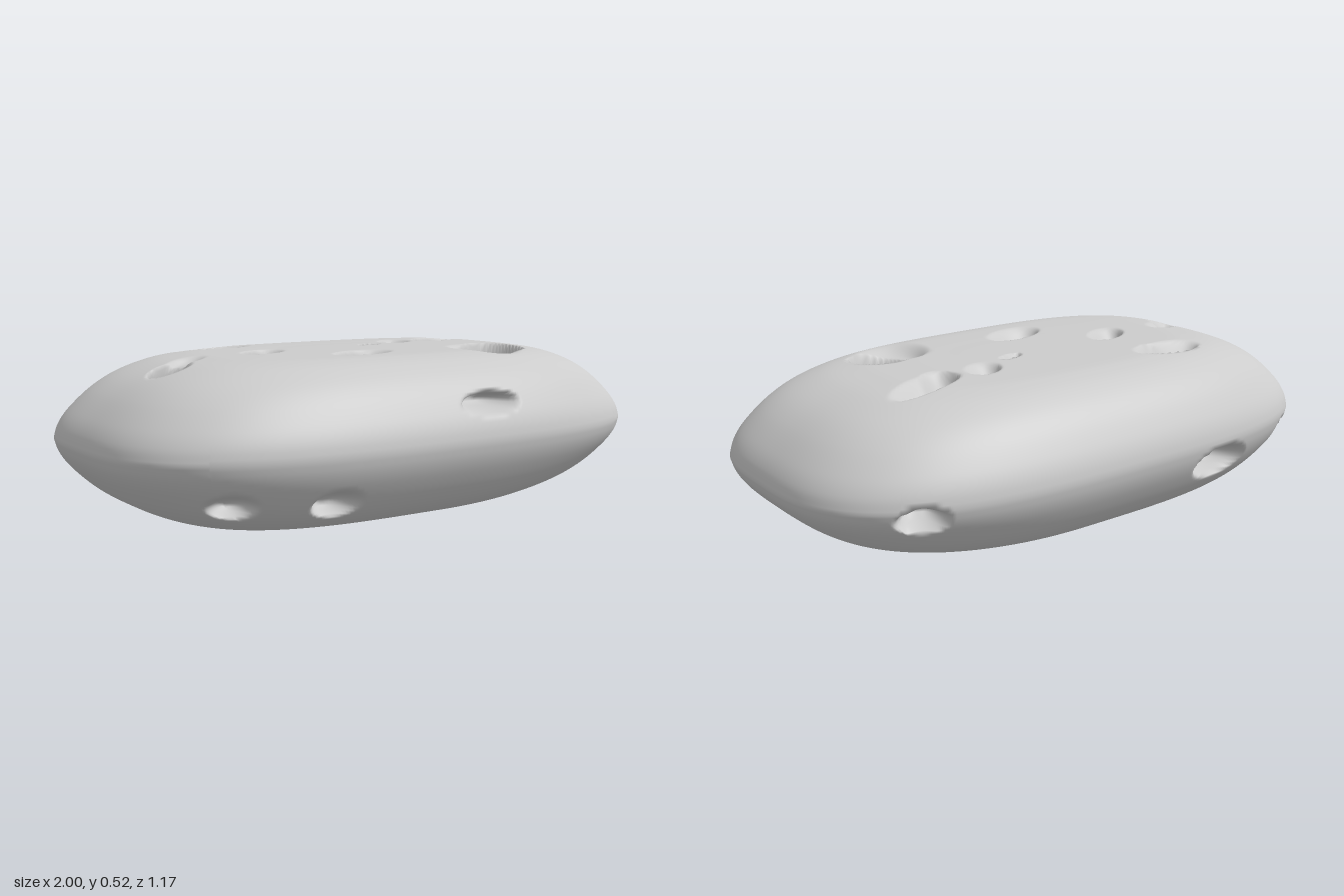
import * as THREE from 'three';
import { mergeVertices } from 'three/addons/utils/BufferGeometryUtils.js';

const MID = 0.265, DEPTH = 0.585, POWER = 3.1, NX = 220, NZ = 136;
const { smoothstep } = THREE.MathUtils;

// Edge profile: distance from the centre (1 = rim) against height above the middle
const profile = new THREE.SplineCurve([
  [0, 0.262], [0.25, 0.262], [0.5, 0.261], [0.6, 0.255], [0.7, 0.239], [0.8, 0.204],
  [0.88, 0.156], [0.95, 0.092], [0.986, 0.043], [1, 0],
].map(([t, h]) => new THREE.Vector2(t, h)));

// Pit in the upper or lower face, pushed in and slightly under its back edge
const facePit = (side) => ([x, z, rx, rz, depth, turn = 0]) => ({
  centre: new THREE.Vector3(x, MID + side * 0.26, z),
  radii: [rx, 0.15, rz],
  turn,
  push: new THREE.Vector3(-0.2, -side, -0.3).multiplyScalar(depth),
});

// Pit in the rim, pushed in along the outline's normal
const rimPit = (side) => ([x, y, rx, ry, depth]) => {
  const z = Math.pow(1 - Math.abs(x) ** POWER, 1 / POWER);
  const normal = new THREE.Vector3(
    Math.sign(x) * Math.abs(x) ** (POWER - 1), 0, (side * z ** (POWER - 1)) / DEPTH).normalize();
  return {
    centre: new THREE.Vector3(x, y, side * z * DEPTH * 0.95),
    radii: [rx, ry, 0.14],
    turn: Math.atan2(normal.x, normal.z),
    push: normal.multiplyScalar(-depth),
  };
};

const upperPits = [
  [-0.40, -0.27, 0.15, 0.06, 0.08],
  [-0.36, -0.26, 0.08, 0.04, 0.08],
  [-0.72, 0.06, 0.075, 0.07, 0.13, 0.3],
  [-0.64, 0.01, 0.09, 0.05, 0.02, 0.4],
  [-0.35, -0.01, 0.1, 0.06, 0.06, 0.5],
  [-0.09, 0.19, 0.13, 0.07, 0.06, 0.25],
  [0.11, -0.06, 0.05, 0.02, 0.06, 0.2],
  [0.27, -0.13, 0.08, 0.06, 0.04, 0.6],
  [0.51, -0.165, 0.16, 0.065, 0.06, 0.3],
  [0.44, -0.13, 0.07, 0.06, 0.11, 0.5],
  [0.38, 0.24, 0.13, 0.13, 0.04],
];
const lowerPits = [
  [0.52, 0.21, 0.14, 0.13, 0.03],
  [0.28, 0.19, 0.08, 0.06, 0.08],
  [0.55, -0.16, 0.09, 0.07, 0.07],
  [0.28, -0.17, 0.16, 0.12, 0.14, 0.3],
  [0.13, 0.03, 0.06, 0.04, 0.08],
  [-0.39, 0.04, 0.08, 0.07, 0.11],
];
const frontPits = [
  [0.16, 0.38, 0.13, 0.035, 0.12],
  [-0.73, 0.12, 0.1, 0.055, 0.1],
  [-0.40, 0.11, 0.1, 0.055, 0.1],
];
const backPits = [
  [0.73, 0.235, 0.09, 0.042, 0.11],
  [-0.39, 0.19, 0.14, 0.06, 0.12],
  [-0.79, 0.2, 0.07, 0.045, 0.1],
];
const pits = [
  ...upperPits.map(facePit(1)), ...lowerPits.map(facePit(-1)),
  ...frontPits.map(rimPit(1)), ...backPits.map(rimPit(-1)),
];

// Hole that goes right through
const hole = { x: 0.445, z: 0.21, rx: 0.1, rz: 0.095, core: 0.65 };
const holeDistance = (x, z) => Math.hypot((x - hole.x) / hole.rx, (z - hole.z) / hole.rz);

function applyPits(p) {
  const o = p.clone();
  for (const { centre, radii, turn, push } of pits) {
    const d = o.clone().sub(centre);
    const cos = Math.cos(turn), sin = Math.sin(turn);
    const q = Math.hypot(
      (d.x * cos - d.z * sin) / radii[0], d.y / radii[1], (d.x * sin + d.z * cos) / radii[2]);
    p.addScaledVector(push, 1 - smoothstep(q, 0.35, 1));
  }
  const w = 1 - smoothstep(holeDistance(o.x, o.z), hole.core, 1.1);
  return p.lerp(new THREE.Vector3(o.x, MID, o.z), w);
}

// Point on the plain slab; u and v run from -1 to 1
function slabPoint(u, v, side) {
  const { x: t, y: h } = profile.getPointAt(Math.max(Math.abs(u), Math.abs(v)));
  const norm = Math.pow(Math.abs(u) ** POWER + Math.abs(v) ** POWER, 1 / POWER) || 1;
  const p = new THREE.Vector3((u / norm) * t, MID + side * h, (v / norm) * t * DEPTH);
  // the underside rises slightly towards its left end
  if (side < 0) p.y += 0.025 * smoothstep(p.x, 0.1, 0.8) * (h / 0.262);
  return p;
}

function slabGeometry() {
  const positions = [], index = [];
  for (const side of [1, -1]) {
    const base = positions.length / 3, plain = [];
    for (let j = 0; j <= NZ; j++) {
      for (let i = 0; i <= NX; i++) {
        const p = slabPoint((i / NX) * 2 - 1, (j / NZ) * 2 - 1, side);
        plain.push([p.x, p.z]);
        positions.push(...applyPits(p).toArray());
      }
    }
    for (let j = 0; j < NZ; j++) {
      for (let i = 0; i < NX; i++) {
        const a = j * (NX + 1) + i, b = a + 1, c = a + NX + 1, d = c + 1;
        // leave the middle of the through hole open
        if ([a, b, c, d].every((k) => holeDistance(...plain[k]) < hole.core)) continue;
        const quad = side > 0 ? [a, c, b, b, c, d] : [a, b, c, b, d, c];
        index.push(...quad.map((k) => k + base));
      }
    }
  }
  const g = new THREE.BufferGeometry();
  g.setAttribute('position', new THREE.Float32BufferAttribute(positions, 3));
  g.setIndex(index);
  const merged = mergeVertices(g, 1e-4);
  merged.computeVertexNormals();
  return merged;
}

export function createModel() {
  const group = new THREE.Group();
  group.name = 'pittedSlab';
  const material = new THREE.MeshStandardMaterial({ color: 0xcccccc, side: THREE.DoubleSide });

  const slab = new THREE.Mesh(slabGeometry(), material);
  slab.name = 'slab';
  group.add(slab);

  // Strand bridging the through hole
  const path = new THREE.CatmullRomCurve3([
    new THREE.Vector3(0.35, 0.3, 0.2), new THREE.Vector3(0.41, 0.33, 0.2),
    new THREE.Vector3(0.48, 0.33, 0.21), new THREE.Vector3(0.54, 0.3, 0.22),
  ]);
  const strand = new THREE.Mesh(new THREE.TubeGeometry(path, 24, 0.03, 12), material);
  strand.name = 'strand';
  group.add(strand);

  return group;
}
